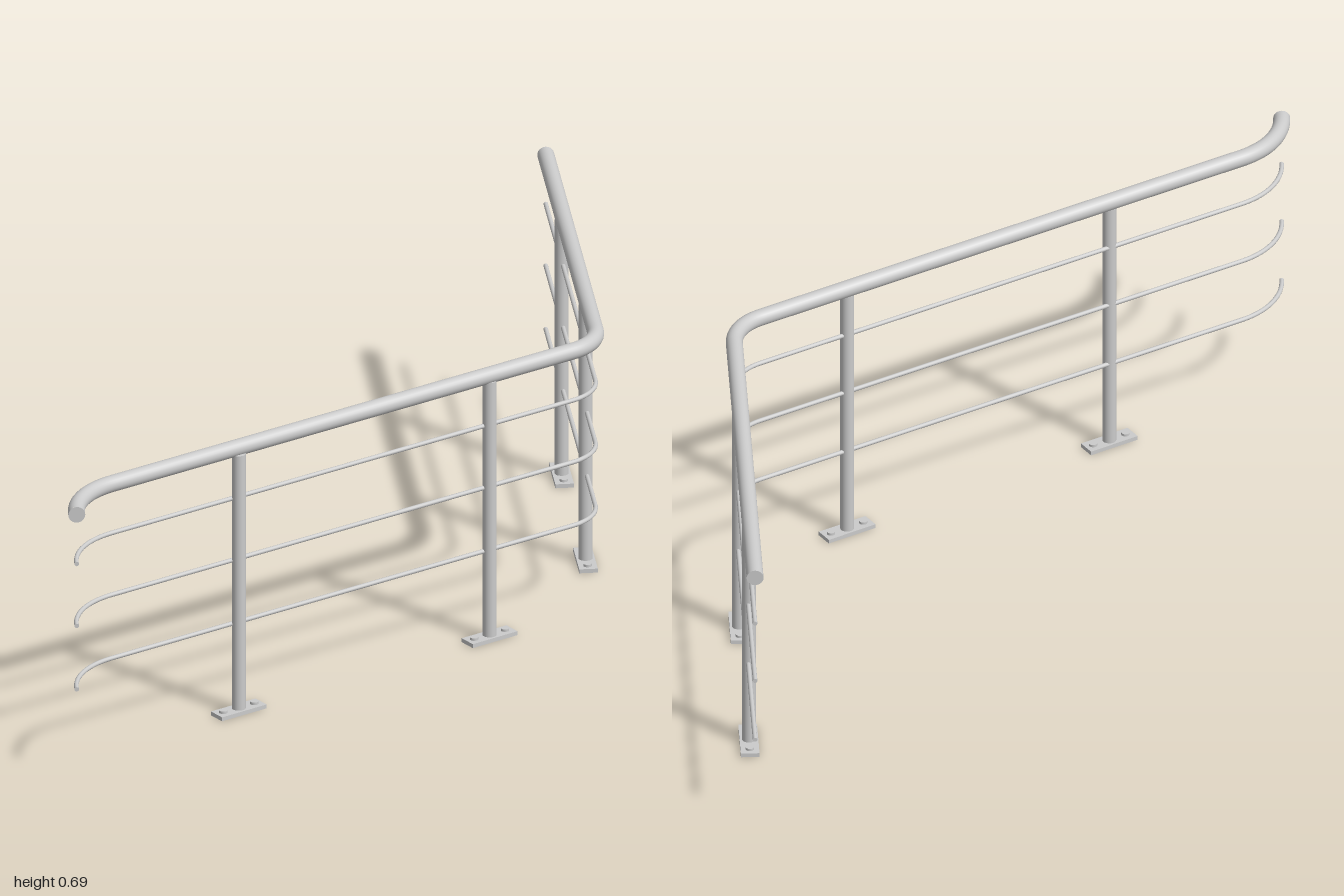
import * as THREE from 'three';

const material = new THREE.MeshStandardMaterial({ color: 0xcccccc });

// Plan of the railing in x/z: straight run, bend, slanted run, curved end
const turn = THREE.MathUtils.degToRad(60.4);
const plan = new THREE.Path();
plan.moveTo(0.665, -1);
plan.lineTo(0.665, 0.052);
plan.absarc(0.536, 0.052, 0.129, 0, turn, false);
plan.absarc(-0.464, 1, 0.201, Math.PI + turn, Math.PI, true);

class RailCurve extends THREE.Curve {
  getPoint(t, target = new THREE.Vector3()) {
    const p = plan.getPointAt(t);
    return target.set(p.x, 0, p.y);
  }
}

function addMesh(parent, name, geometry, x = 0, y = 0, z = 0) {
  const mesh = new THREE.Mesh(geometry, material);
  mesh.name = name;
  mesh.position.set(x, y, z);
  parent.add(mesh);
  return mesh;
}

// Swept bar with closed ends
function makeRail(name, y, radius, sides) {
  const rail = new THREE.Group();
  rail.name = name;
  rail.position.y = y;
  addMesh(rail, 'bar', new THREE.TubeGeometry(new RailCurve(), 200, radius, sides));
  const cap = new THREE.CircleGeometry(radius, sides);
  addMesh(rail, 'frontCap', cap, -0.665, 0, 1);
  addMesh(rail, 'backCap', cap, 0.665, 0, -1).rotation.y = Math.PI;
  return rail;
}

// Upright on a bolted base plate, plate length along local x
function makePost(x, z, angle) {
  const post = new THREE.Group();
  post.name = 'post';
  post.position.set(x, 0, z);
  post.rotation.y = angle;
  addMesh(post, 'upright', new THREE.CylinderGeometry(0.0165, 0.0165, 0.65, 24), 0, 0.335, 0);
  addMesh(post, 'basePlate', new THREE.BoxGeometry(0.13, 0.01, 0.044), 0, 0.005, 0);
  for (const side of [-1, 1]) {
    addMesh(post, 'bolt', new THREE.CylinderGeometry(0.01, 0.01, 0.006, 16), side * 0.045, 0.013, 0);
  }
  return post;
}

export function createModel() {
  const railing = new THREE.Group();
  railing.name = 'railing';

  railing.add(makeRail('handrail', 0.672, 0.02, 24));
  for (const y of [0.546, 0.388, 0.226]) railing.add(makeRail('infillRail', y, 0.0055, 12));

  const slant = Math.PI / 6;
  const posts = [
    [-0.244, 0.654, slant],
    [0.389, 0.288, slant],
    [0.663, -0.138, Math.PI / 2],
    [0.663, -0.645, Math.PI / 2],
  ];
  for (const [x, z, angle] of posts) railing.add(makePost(x, z, angle));

  return railing;
}
